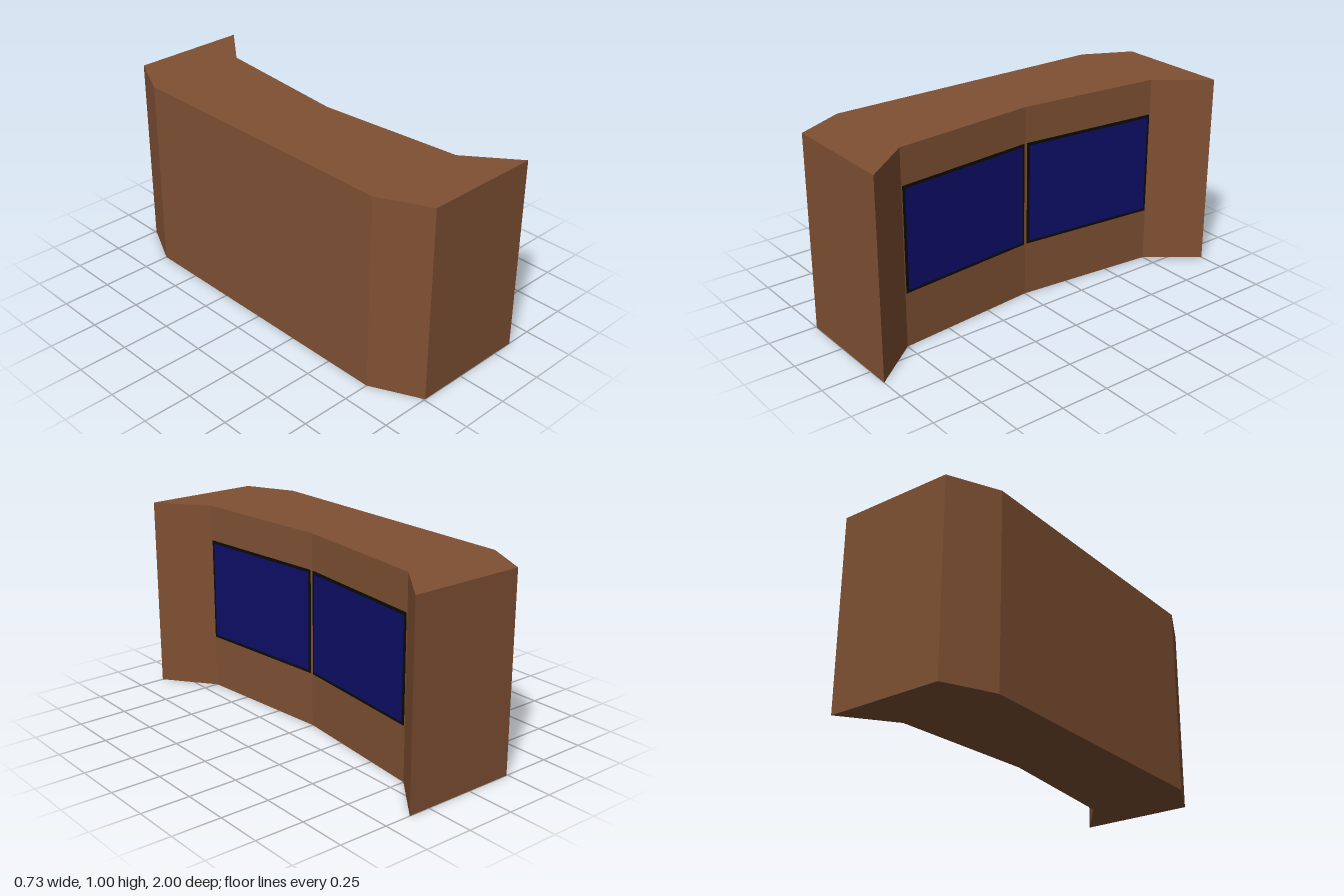
import * as THREE from 'three';

const wood = new THREE.MeshStandardMaterial({ name: 'brown wood', color: 0x7f5033 });
const black = new THREE.MeshStandardMaterial({ name: 'black frame', color: 0x0a0a0a });
const blue = new THREE.MeshStandardMaterial({ name: 'dark blue screen', color: 0x0e0e68 });

function addMesh(parent, name, geometry, material) {
  const mesh = new THREE.Mesh(geometry, material);
  mesh.name = name;
  parent.add(mesh);
  return mesh;
}

export function createModel() {
  const model = new THREE.Group();
  model.name = 'curvedConsole';

  // Cabinet: symmetric plan outline (x, z) extruded upwards
  const half = [[0.1, 0], [0.17, 0.75], [0.363, 1], [-0.243, 1], [-0.365, 0.75]];
  const mirrored = half.slice(1).reverse().map(([x, z]) => [x, -z]);
  const outline = new THREE.Shape([...half, ...mirrored].map(([x, z]) => new THREE.Vector2(x, z)));
  const body = new THREE.ExtrudeGeometry(outline, { depth: 1, bevelEnabled: false });
  body.rotateX(-Math.PI / 2);
  addMesh(model, 'cabinet', body, wood);

  // Two framed screens lying on the angled inner faces
  const angle = Math.atan2(0.07, 0.75);
  for (const side of [1, -1]) {
    const panel = new THREE.Group();
    panel.name = side > 0 ? 'frontScreenPanel' : 'backScreenPanel';
    panel.position.set(0.135, 0.548, side * 0.377);
    panel.rotation.y = side * angle;
    addMesh(panel, 'screenFrame', new THREE.BoxGeometry(0.008, 0.535, 0.738), black);
    const screen = addMesh(panel, 'screen', new THREE.BoxGeometry(0.004, 0.505, 0.71), blue);
    screen.position.x = 0.004;
    model.add(panel);
  }
  return model;
}
